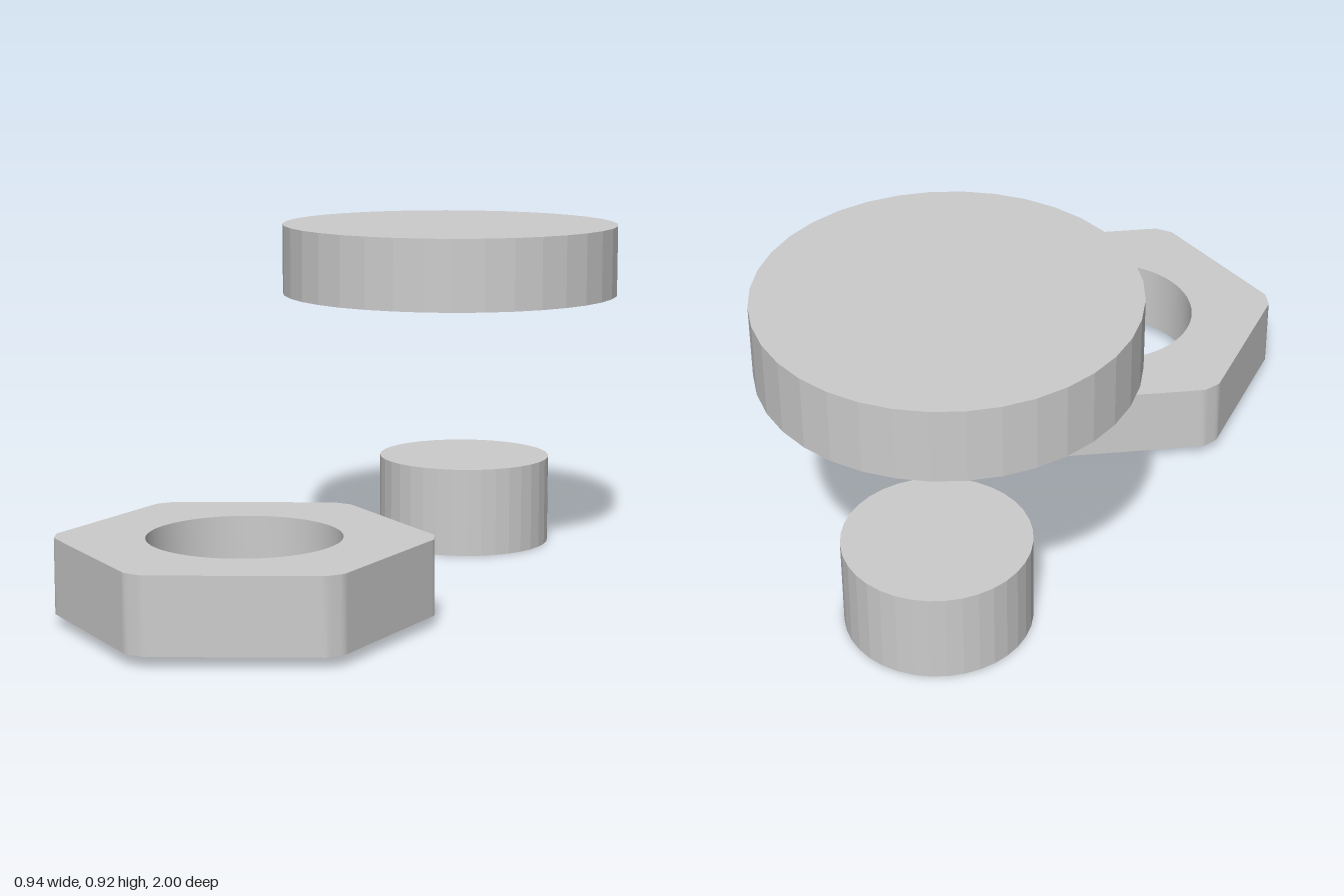
import * as THREE from 'three';
import { toCreasedNormals } from 'three/addons/utils/BufferGeometryUtils.js';

const material = new THREE.MeshStandardMaterial({ color: 0xcccccc });
const facetedMaterial = new THREE.MeshStandardMaterial({ color: 0xcccccc, flatShading: true });

// Faceted solid round part standing on y = base
function round(name, radius, height, base, z) {
  const mesh = new THREE.Mesh(new THREE.CylinderGeometry(radius, radius, height, 36), facetedMaterial);
  mesh.name = name;
  mesh.position.set(0, base + height / 2, z);
  return mesh;
}

// Hexagon whose corners are trimmed by a circle, with a round bore
function hexNutGeometry(apothem, radius, bore, height) {
  const half = Math.PI / 6 - Math.acos(apothem / radius);
  const points = [];
  for (let i = 0; i < 6; i++) {
    const corner = Math.PI / 6 + i * Math.PI / 3;
    const arc = [];
    for (let j = 0; j <= 4; j++) {
      const a = corner + half * (j / 2 - 1);
      arc.push(new THREE.Vector2(Math.cos(a), Math.sin(a)).multiplyScalar(radius));
    }
    // Extra points beside each corner keep the flats evenly shaded
    const along = (a, sign) => new THREE.Vector2(-Math.sin(a), Math.cos(a)).multiplyScalar(sign * 0.012);
    const before = arc[0].clone().add(along(corner - Math.PI / 6, -1));
    const after = arc[4].clone().add(along(corner + Math.PI / 6, 1));
    points.push(before, ...arc, after);
  }
  const shape = new THREE.Shape(points);
  shape.holes.push(new THREE.Path().absarc(0, 0, bore, 0, Math.PI * 2, true));
  const geometry = new THREE.ExtrudeGeometry(shape, { depth: height, bevelEnabled: false, curveSegments: 36 });
  geometry.rotateX(-Math.PI / 2);
  return toCreasedNormals(geometry, 0.6);
}

export function createModel() {
  const model = new THREE.Group();
  model.name = 'nutPinAndDisc';

  // Raised disc and the short pin below it
  model.add(round('disc', 0.472, 0.195, 0.726, -0.528));
  model.add(round('pin', 0.243, 0.246, 0, -0.622));

  // Hexagonal nut at the front
  const nut = new THREE.Mesh(hexNutGeometry(0.421, 0.472, 0.246, 0.194), material);
  nut.name = 'hexNut';
  nut.position.set(0, 0.027, 0.528);
  model.add(nut);

  return model;
}
